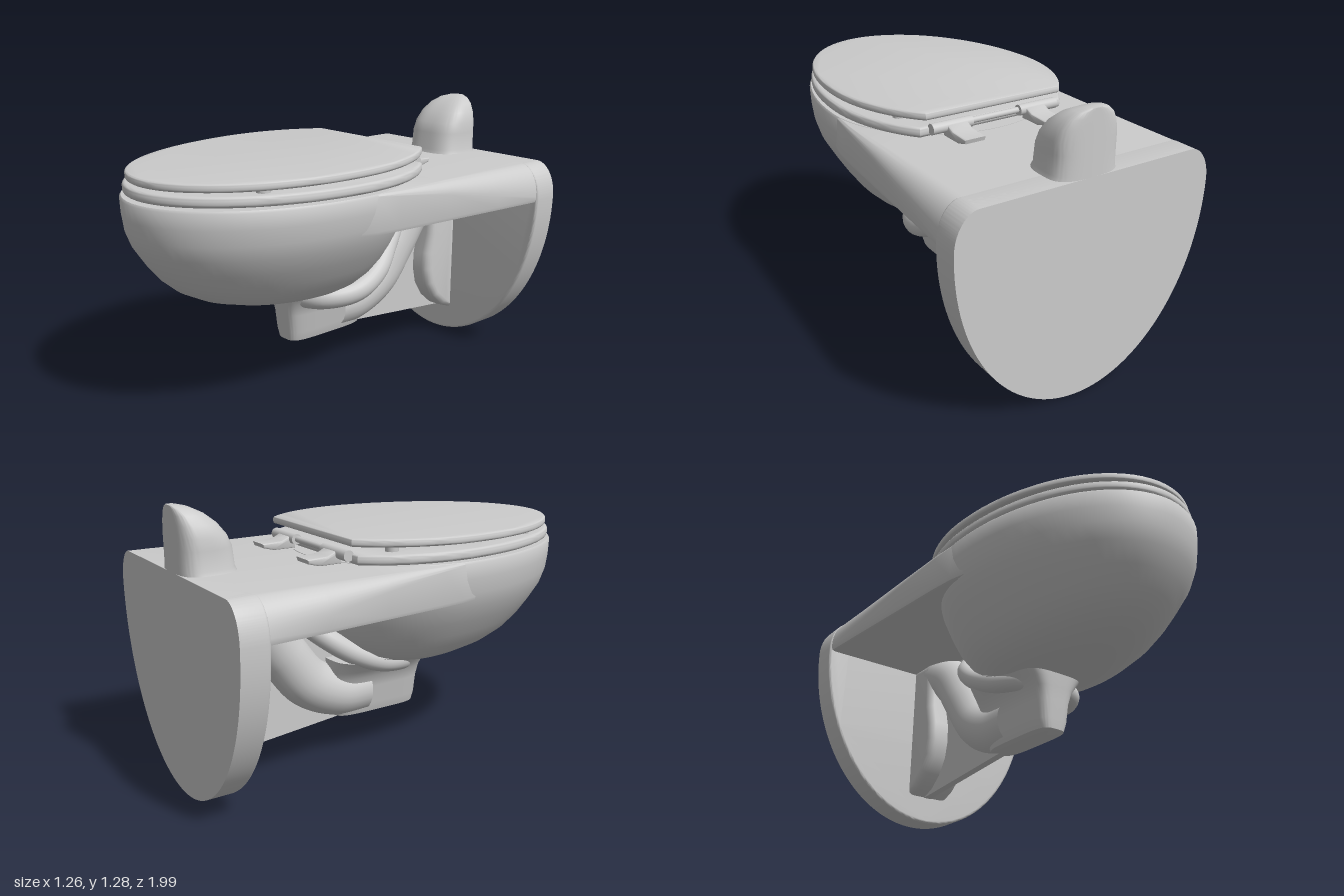
import * as THREE from 'three';
import { mergeVertices, toCreasedNormals } from 'three/addons/utils/BufferGeometryUtils.js';

const material = new THREE.MeshStandardMaterial({ color: 0xcccccc });
const V = (x, y, z) => new THREE.Vector3(x, y, z);

// Skins a list of equal-length closed rings, caps both ends and faces outward.
function loft(rings, crease = 0.7) {
  const n = rings[0].length, tris = [];
  for (let i = 0; i < rings.length - 1; i++) {
    for (let j = 0; j < n; j++) {
      const k = (j + 1) % n, a = rings[i], b = rings[i + 1];
      tris.push([a[j], a[k], b[k]], [a[j], b[k], b[j]]);
    }
  }
  [rings[0], rings[rings.length - 1]].forEach((ring, end) => {
    const c = ring.reduce((s, p) => s.add(p), V(0, 0, 0)).divideScalar(n);
    for (let j = 0; j < n; j++) {
      const k = (j + 1) % n;
      tris.push(end ? [c, ring[j], ring[k]] : [c, ring[k], ring[j]]);
    }
  });
  const volume = tris.reduce((s, [a, b, c]) => s + a.dot(b.clone().cross(c)), 0);
  const points = tris.flatMap(([a, b, c]) => (volume < 0 ? [a, c, b] : [a, b, c]));
  return toCreasedNormals(new THREE.BufferGeometry().setFromPoints(points), crease);
}

// Horizontal egg-shaped ring: half-width w, front zf, back zb, widest at zc.
function egg(y, w, zf, zb, zc, power = 2, n = 72) {
  return Array.from({ length: n }, (_, i) => {
    const t = (i / n) * Math.PI * 2, s = Math.sin(t), c = Math.cos(t);
    const f = (v) => Math.sign(v) * Math.abs(v) ** (2 / power);
    return V(w * f(c), y, zc + f(s) * (s > 0 ? zf - zc : zc - zb));
  });
}

// Extrudes a (z, y) side profile across x with rounded edges.
function sideProfile(points, halfWidth, bevel) {
  const shape = new THREE.Shape(points.map(([z, y]) => new THREE.Vector2(-z, y)));
  const g = new THREE.ExtrudeGeometry(shape, {
    depth: 2 * (halfWidth - bevel), bevelEnabled: bevel > 0, bevelSize: bevel,
    bevelThickness: bevel, bevelOffset: -bevel, bevelSegments: 5,
  });
  g.translate(0, 0, bevel - halfWidth).rotateY(Math.PI / 2);
  return toCreasedNormals(g, 0.7);
}

// Seat and lid outline: an egg cut straight across the hinge side.
function seatShape(w, front, back) {
  const zc = 0.15, depth = 0.66, start = -Math.asin((zc - back) / depth), pts = [];
  for (let i = 0; i <= 64; i++) {
    const t = start + (i / 64) * (Math.PI - 2 * start), s = Math.sin(t);
    pts.push(new THREE.Vector2(w * Math.cos(t), -(zc + s * (s > 0 ? front - zc : depth))));
  }
  return new THREE.Shape(pts);
}

function slab(shape, thickness, bevel) {
  const g = new THREE.ExtrudeGeometry(shape, {
    depth: thickness - 2 * bevel, bevelSize: bevel, bevelThickness: bevel,
    bevelOffset: -bevel, bevelSegments: 4, curveSegments: 48,
  });
  return toCreasedNormals(g.translate(0, 0, bevel).rotateX(-Math.PI / 2), 0.7);
}

function tube(points, radius) {
  const curve = new THREE.CatmullRomCurve3(points.map((p) => V(...p)));
  return new THREE.TubeGeometry(curve, 48, radius, 24);
}

export function createModel() {
  const model = new THREE.Group();
  const add = (name, geometry, parent = model) => {
    const mesh = new THREE.Mesh(geometry, material);
    mesh.name = name;
    parent.add(mesh);
    return mesh;
  };

  // Bowl: y, half-width, front, back
  const bowl = [
    [0.463, 0.1, 0.36, 0.05], [0.468, 0.18, 0.48, -0.02], [0.485, 0.25, 0.57, -0.1],
    [0.52, 0.31, 0.68, -0.18], [0.57, 0.365, 0.775, -0.24], [0.63, 0.41, 0.845, -0.29],
    [0.7, 0.455, 0.9, -0.32], [0.78, 0.503, 0.952, -0.34], [0.85, 0.526, 0.978, -0.35],
    [0.92, 0.536, 0.987, -0.36], [0.99, 0.54, 0.99, -0.37], [1.0, 0.533, 0.983, -0.37],
  ];
  add('bowl', loft(bowl.map(([y, w, f, b]) => egg(y, w, f, b, 0.16))));

  // Deck: z, half-width, rounding across, rounding down
  const deck = [
    [-1, 0.63, 0.11, 0.16], [-0.87, 0.622, 0.105, 0.15], [-0.6, 0.601, 0.085, 0.11],
    [-0.3, 0.577, 0.055, 0.06], [0, 0.553, 0.02, 0.025], [0.12, 0.539, 0.01, 0.015],
    [0.26, 0.505, 0.01, 0.015],
  ];
  add('deck', loft(deck.map(([z, w, rx, ry]) => {
    const half = [V(w - 0.02, 0.815, z), V(w - 0.005, 0.82, z), V(w, 0.835, z)];
    for (let i = 0; i <= 10; i++) {
      const t = (i / 10) * Math.PI / 2;
      half.push(V(w - rx + rx * Math.cos(t), 0.998 - ry + ry * Math.sin(t), z));
    }
    return [...half, ...half.map((p) => V(-p.x, p.y, p.z)).reverse()];
  })));

  // Wall plate
  const plate = new THREE.Shape();
  plate.moveTo(-0.52, 0.998).lineTo(0.52, 0.998);
  plate.bezierCurveTo(0.58, 0.998, 0.63, 0.93, 0.63, 0.83);
  plate.absellipse(0, 0.83, 0.63, 0.83, 0, Math.PI, true);
  plate.bezierCurveTo(-0.63, 0.93, -0.58, 0.998, -0.52, 0.998);
  const plateGeometry = new THREE.ExtrudeGeometry(plate, {
    depth: 0.118, bevelSize: 0.012, bevelThickness: 0.012, bevelOffset: -0.012,
    bevelSegments: 3, curveSegments: 48,
  });
  // The back stays square against the wall
  const pos = plateGeometry.attributes.position;
  plateGeometry.translate(0, 0, -1);
  for (let i = 0; i < pos.count; i++) pos.setZ(i, Math.max(-1, pos.getZ(i)));
  add('wallPlate', toCreasedNormals(plateGeometry, 0.7));

  // Water inlet cover: y, half-width, depth
  const cover = [
    [0.99, 0.162, 0.268], [1.015, 0.152, 0.256], [1.1, 0.15, 0.247], [1.15, 0.147, 0.225],
    [1.2, 0.133, 0.185], [1.24, 0.108, 0.135], [1.265, 0.075, 0.085], [1.277, 0.035, 0.04],
  ];
  add('inletCover', loft(cover.map(([y, w, d]) =>
    egg(y, w, -1 + d, -1, -1 + d * 0.4, 3))));

  // Sump below the bowl: y, half-width, front, back
  const sump = [
    [0.195, 0.05, 0.185, -0.2], [0.205, 0.075, 0.205, -0.24], [0.25, 0.09, 0.212, -0.26],
    [0.34, 0.1, 0.22, -0.27], [0.4, 0.12, 0.228, -0.28], [0.44, 0.15, 0.234, -0.28],
    [0.5, 0.2, 0.24, -0.28],
  ];
  add('sump', loft(sump.map(([y, w, f, b]) => egg(y, w, f, b, 0, 4))));

  // Trap, outlet and the thin web joining them
  add('trap', tube([[0, 0.32, -0.08], [0, 0.325, -0.22], [0, 0.4, -0.38],
    [0, 0.56, -0.51], [0, 0.7, -0.62], [0, 0.78, -0.76]], 0.122));
  add('outlet', sideProfile([[-0.88, 0.13], [-0.8, 0.16], [-0.73, 0.22], [-0.68, 0.3],
    [-0.66, 0.39], [-0.665, 0.48], [-0.69, 0.58], [-0.7, 0.83], [-0.88, 0.83]], 0.12, 0.04));
  add('web', sideProfile([[-0.1, 0.2], [-0.2, 0.196], [-0.88, 0.13], [-0.88, 0.83],
    [-0.25, 0.83], [-0.2, 0.5]], 0.02, 0));

  // Rinse channel wrapped round the base of the bowl
  add('rinseChannel', tube([[0.04, 0.43, 0.17], [0.16, 0.432, 0.1], [0.225, 0.45, -0.04],
    [0.21, 0.51, -0.19], [0.15, 0.61, -0.32], [0.08, 0.71, -0.44], [0, 0.8, -0.52]], 0.055));
  add('rinseChannelSide', tube([[-0.04, 0.43, 0.17], [-0.11, 0.45, 0.08], [-0.15, 0.48, -0.06],
    [-0.15, 0.55, -0.22], [-0.11, 0.65, -0.36], [0, 0.77, -0.48]], 0.05));

  // Seat ring and lid
  const seat = seatShape(0.532, 0.975, -0.325);
  seat.holes.push(new THREE.Path().absellipse(0, -0.27, 0.3, 0.44, 0, Math.PI * 2));
  add('seat', slab(seat, 0.046, 0.016)).position.y = 1.008;
  const lid = add('lid', slab(seatShape(0.525, 0.96, -0.342), 0.036, 0.012));
  lid.position.y = 1.081;
  lid.rotation.x = 0.017;

  // Bumpers between seat and lid
  for (const side of [-1, 1]) {
    for (const z of [-0.15, 0.6]) {
      const bumper = add('bumper', new THREE.CylinderGeometry(0.03, 0.03, 0.035, 20));
      bumper.position.set(side * 0.37, 1.068, z);
    }
  }

  // Hinges
  for (const side of [-1, 1]) {
    const hinge = new THREE.Group();
    hinge.name = 'hinge';
    hinge.position.x = side * 0.205;
    add('hingeFoot', sideProfile([[-0.33, 1.0], [-0.33, 1.06], [-0.365, 1.055], [-0.4, 1.038],
      [-0.5, 1.034], [-0.495, 1.015], [-0.44, 1.0]], 0.052, 0.008), hinge);
    const barrel = add('hingeBarrel', new THREE.CylinderGeometry(0.025, 0.025, 0.2, 20), hinge);
    barrel.rotation.z = Math.PI / 2;
    barrel.position.set(side * 0.02, 1.045, -0.34);
    model.add(hinge);
  }
  const rod = add('hingeRod', new THREE.CylinderGeometry(0.014, 0.014, 0.5, 16));
  rod.rotation.z = Math.PI / 2;
  rod.position.set(0, 1.045, -0.335);

  return model;
}
